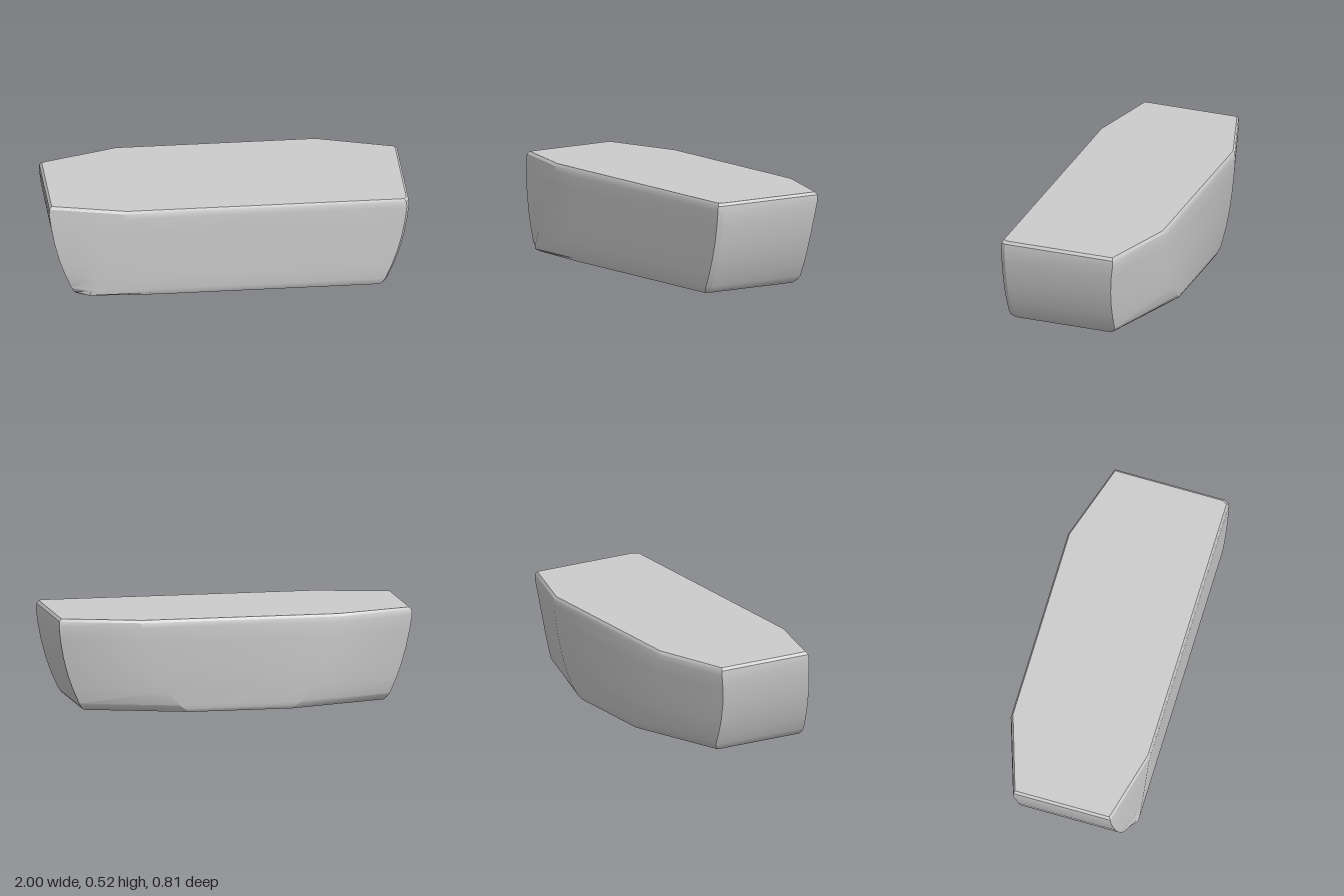
import * as THREE from 'three';
import { toCreasedNormals } from 'three/addons/utils/BufferGeometryUtils.js';

// Horizontal sections, bottom to top:
// [y, end x, side z, back chamfer start x, back chamfer end z, front chamfer start x, front chamfer end z]
const SECTIONS = [
  [0.0, 0.85, 0.39, 0.29, 0.20, 0.78, 0.33],
  [0.015, 0.865, 0.398, 0.31, 0.215, 0.785, 0.338],
  [0.04, 0.88, 0.402, 0.345, 0.23, 0.775, 0.342],
  [0.12, 0.915, 0.404, 0.42, 0.232, 0.74, 0.335],
  [0.2, 0.944, 0.405, 0.47, 0.234, 0.71, 0.328],
  [0.3, 0.971, 0.405, 0.515, 0.24, 0.666, 0.32],
  [0.4, 0.99, 0.405, 0.545, 0.25, 0.624, 0.31],
  [0.48, 1.0, 0.405, 0.56, 0.262, 0.59, 0.302],
  [0.51, 0.998, 0.402, 0.56, 0.26, 0.583, 0.3],
  [0.525, 0.985, 0.393, 0.555, 0.255, 0.575, 0.29],
];

// Outline of one section, counterclockwise from above
function outline([y, x, z, backX, backZ, frontX, frontZ], i) {
  const dip = i === 0 ? 0.02 : 0; // the underside narrows slightly at one front corner
  return [
    [x, z - 0.025], [x, -backZ], [backX, -z], [-backX, -z], [-x, -backZ],
    [-x, frontZ], [-frontX, z - dip], [-0.4, z], [x - 0.015, z],
  ].map(([px, pz]) => new THREE.Vector3(px, y, pz));
}

function loft(rings) {
  const pos = [];
  const tri = (...pts) => pts.forEach((p) => pos.push(p.x, p.y, p.z));
  const n = rings[0].length;
  // side walls
  for (let i = 0; i < rings.length - 1; i++) {
    for (let j = 0; j < n; j++) {
      const k = (j + 1) % n;
      tri(rings[i][j], rings[i][k], rings[i + 1][k]);
      tri(rings[i][j], rings[i + 1][k], rings[i + 1][j]);
    }
  }
  // flat top and underside
  const low = rings[0], high = rings[rings.length - 1];
  const lowMid = new THREE.Vector3(0, low[0].y, 0);
  const highMid = new THREE.Vector3(0, high[0].y, 0);
  for (let j = 0; j < n; j++) {
    const k = (j + 1) % n;
    tri(lowMid, low[k], low[j]);
    tri(highMid, high[j], high[k]);
  }
  const geo = new THREE.BufferGeometry();
  geo.setAttribute('position', new THREE.Float32BufferAttribute(pos, 3));
  return toCreasedNormals(geo, 0.45);
}

export function createModel() {
  const group = new THREE.Group();
  group.name = 'chamferedBlock';
  const body = new THREE.Mesh(
    loft(SECTIONS.map(outline)),
    new THREE.MeshStandardMaterial({ color: 0xcccccc }),
  );
  body.name = 'body';
  group.add(body);
  return group;
}
